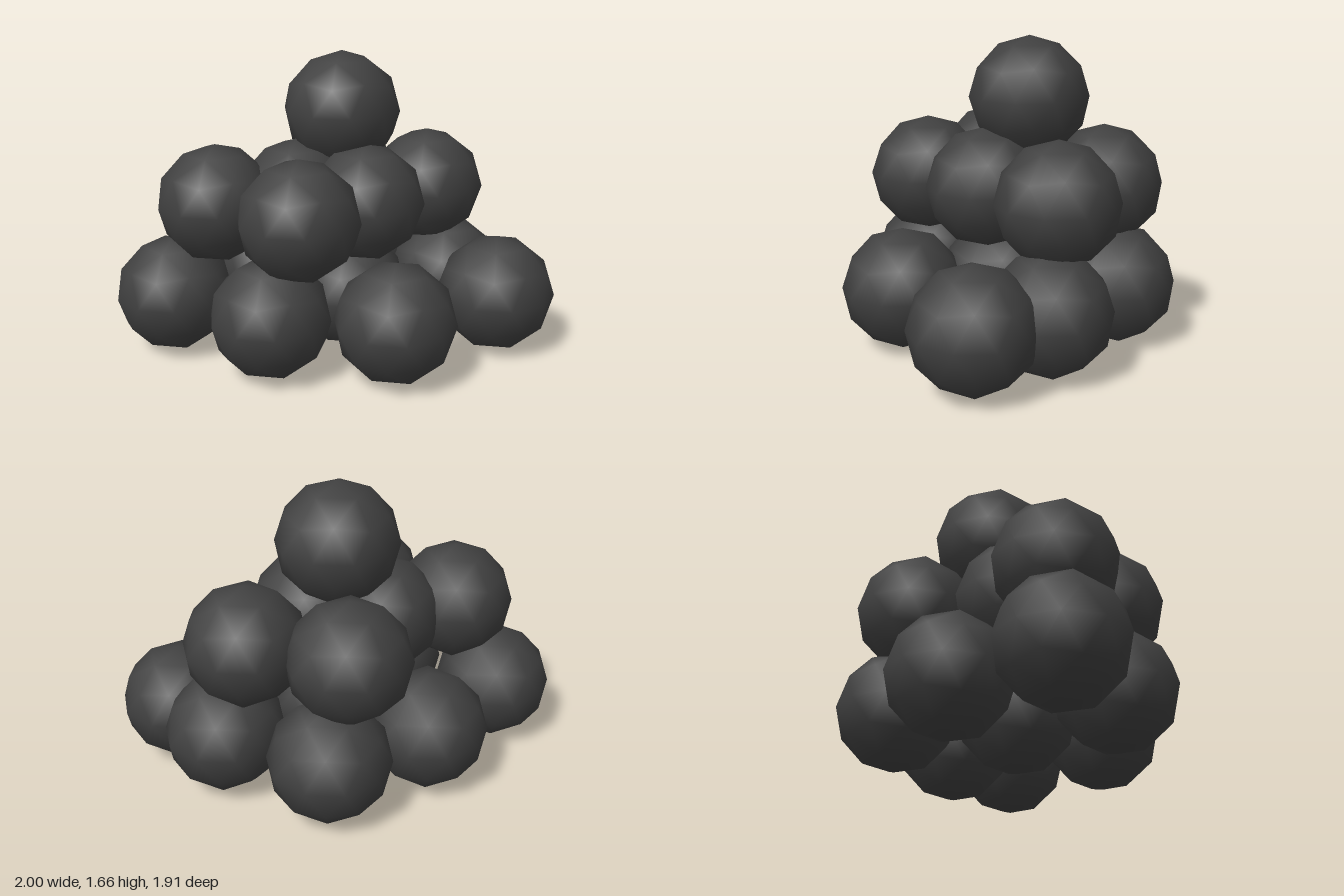
import * as THREE from 'three';

export function createModel() {
  const group = new THREE.Group();
  group.name = 'ballPile';

  const iron = new THREE.MeshStandardMaterial({ color: 0x404040 });
  iron.name = 'dark iron';

  // Faceted ball, turned so that a corner points straight up
  const radius = 0.328;
  const ball = new THREE.IcosahedronGeometry(radius, 1);
  ball.rotateZ(-Math.atan(2 / (1 + Math.sqrt(5))));

  // Loosely stacked layers: height and [x, z] of every ball
  const layers = [
    { name: 'bottomBall', y: 0.33, spots: [
      [-0.69, -0.63], [-0.02, -0.63], [0.55, -0.42],
      [-0.54, 0.03], [0.07, 0], [0.69, 0.19],
      [-0.11, 0.53], [0.62, 0.62],
    ] },
    { name: 'middleBall', y: 0.86, spots: [
      [-0.52, -0.44], [-0.11, -0.24], [0.42, -0.44],
      [-0.42, 0.13], [0.085, 0.11], [0.62, 0.08],
    ] },
    { name: 'topBall', y: 1.335, spots: [[0.145, -0.14]] },
  ];

  for (const { name, y, spots } of layers) {
    spots.forEach(([x, z], i) => {
      const mesh = new THREE.Mesh(ball, iron);
      mesh.name = spots.length > 1 ? name + (i + 1) : name;
      mesh.position.set(x, y, z);
      group.add(mesh);
    });
  }
  return group;
}
